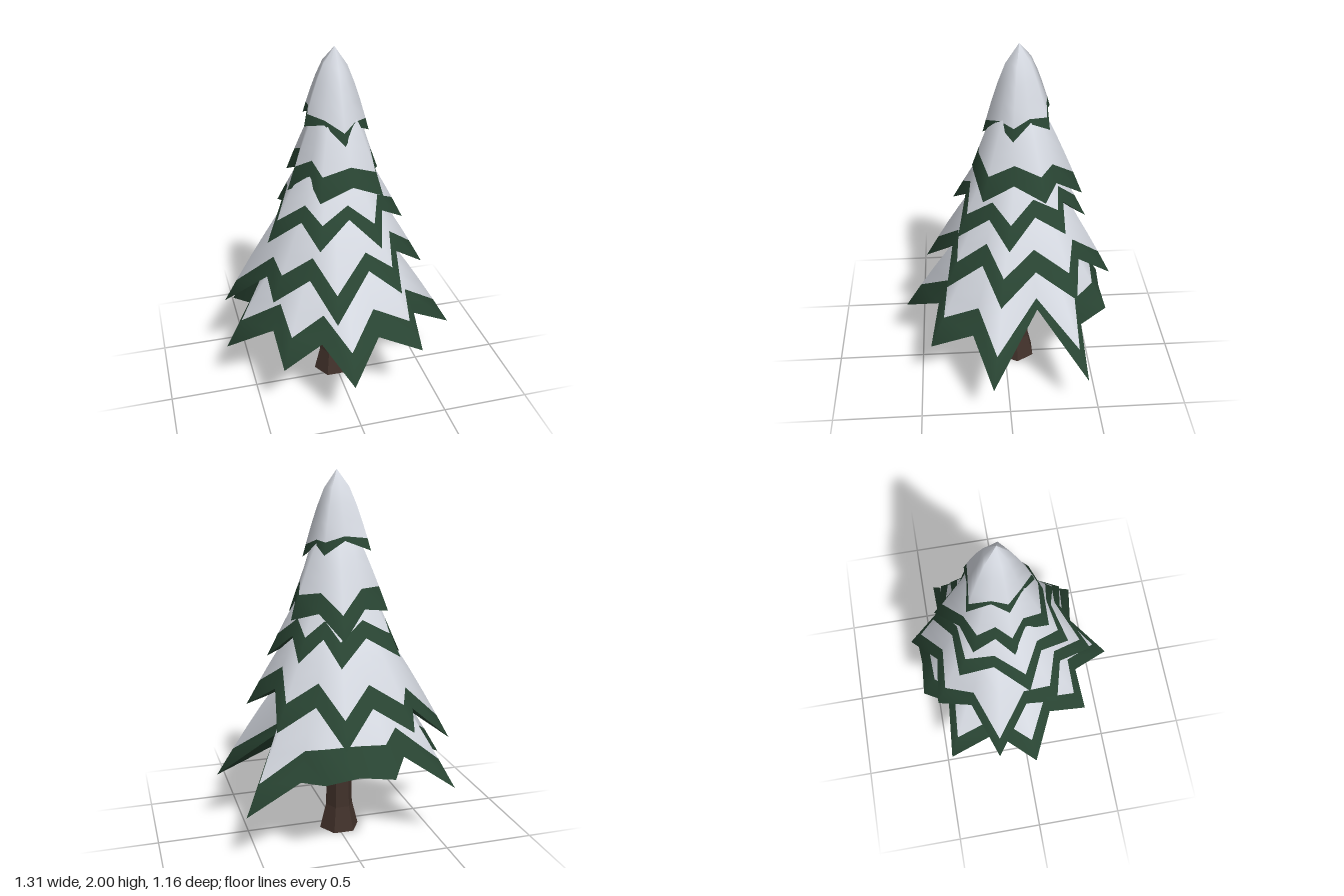
import * as THREE from 'three';

const snow = new THREE.MeshStandardMaterial({ color: 0xd7dbe3 });
snow.name = 'snow';
const needles = new THREE.MeshStandardMaterial({ color: 0x2a4634 });
needles.name = 'needleGreen';
const bark = new THREE.MeshStandardMaterial({ color: 0x41312a });
bark.name = 'bark';

const AXIS_Z = -0.07; // the tree stands slightly behind the middle

// Each tier: ring it starts from, bulge and green edge width at [tips, notches], and
// branch tips [x, y, z] with an optional notch after them: { depth, rise, shift }
const TIERS = [
  { name: 'bottomBranches', top: [0.2, 1.0], power: [0.85, 0.7], rise: 0.13, band: [0.19, 0.17],
    tips: [[0.65, 0.32, 0.10, { depth: 0.55, rise: 0.32, shift: 0.6 }], [0.37, 0.40, 0.43],
      [-0.06, 0.35, 0.58], [-0.40, 0.38, 0.38], [-0.66, 0.34, 0.035], [-0.55, 0.33, -0.46],
      [-0.17, 0.47, -0.565], [0.20, 0.48, -0.56, { depth: 0.91, rise: 0.02 }],
      [0.58, 0.29, -0.42, { rise: 0.06 }]] },
  { name: 'lowerBranches', top: [0.17, 1.25], power: [0.85, 0.7], rise: 0.15, band: [0.16, 0.13],
    tips: [[-0.63, 0.51, -0.18], [-0.30, 0.68, -0.48], [0.10, 0.66, -0.585], [0.40, 0.71, -0.36],
      [0.48, 0.74, 0.05], [0.27, 0.73, 0.33], [-0.12, 0.67, 0.445, { rise: 0.18, shift: 0.58 }],
      [-0.41, 0.70, 0.19]] },
  { name: 'middleBranches', top: [0.11, 1.48], power: [0.85, 0.7], rise: 0.12, band: [0.14, 0.1],
    tips: [[-0.40, 0.98, 0.03], [-0.17, 1.03, 0.28, { rise: 0.15 }], [0.17, 0.99, 0.26],
      [0.37, 1.02, 0.0], [0.27, 1.05, -0.30], [0.08, 1.04, -0.43], [-0.27, 1.05, -0.33]] },
  { name: 'upperBranches', top: [0.08, 1.72], power: [0.85, 0.7], rise: 0.08, band: [0.14, 0.11],
    tips: [[0.06, 1.17, -0.41], [0.28, 1.25, -0.19], [0.215, 1.23, 0.126],
      [-0.14, 1.25, 0.17, { depth: 0.85 }], [-0.27, 1.25, -0.03], [-0.23, 1.28, -0.24]] },
  { name: 'treeTop', top: [0, 2], power: [0.65, 0.65], rise: 0.06, band: [0.07, 0.025],
    tips: [[0.01, 1.53, 0.115], [0.175, 1.55, -0.03], [0.11, 1.58, -0.22], [-0.13, 1.6, -0.245],
      [-0.17, 1.6, -0.04]] },
];

// Star-shaped rim: tips sorted by angle with a notch after each one
function makeRim({ tips, rise: tierRise, band, power }) {
  const polar = tips.map(([x, y, z, notch = {}]) => ({
    a: Math.atan2(x, z - AXIS_Z), r: Math.hypot(x, z - AXIS_Z), y, notch,
    band: band[0], power: power[0],
  })).sort((p, q) => p.a - q.a);
  return polar.flatMap((p, i) => {
    const q = polar[(i + 1) % polar.length];
    const qa = q.a < p.a ? q.a + 2 * Math.PI : q.a;
    const { depth = 0.74, rise = tierRise, shift = 0.5 } = p.notch;
    return [p, {
      a: p.a + (qa - p.a) * shift, r: depth * (p.r + q.r) / 2, y: (p.y + q.y) / 2 + rise,
      band: band[1] * Math.min(1, tierRise / rise), power: power[1], // deep notches have a thin edge
    }];
  });
}

function makeTier(tier) {
  const rim = makeRim(tier);
  const n = rim.length;
  const [r0, y0] = tier.top;
  const positions = [];
  const index = [];
  const addRow = (f) => rim.forEach((p) => {
    const [r, y] = f(p);
    positions.push(r * Math.sin(p.a), y, r * Math.cos(p.a) + AXIS_Z);
  });
  const skin = (p, t) => [r0 + (p.r - r0) * t ** p.power, y0 + (p.y - y0) * t];
  const snowEnd = (p) => 1 - p.band / Math.hypot(p.r - r0, p.y - y0);

  // Snow rows, green edge, then the hollow underside with its own rim
  const snowRows = [0, 0.25, 0.5, 0.75, 1];
  snowRows.forEach((k) => addRow((p) => skin(p, k * snowEnd(p))));
  addRow((p) => skin(p, 1));
  addRow((p) => skin(p, 1));
  const innerY = Math.max(...rim.map((p) => p.y)) + tier.rise * 0.3;
  addRow((p) => [p.r * 0.15, innerY]);

  const strip = (row) => {
    for (let i = 0; i < n; i++) {
      const j = (i + 1) % n;
      const [a, b, c, d] = [row * n + i, row * n + n + i, row * n + n + j, row * n + j];
      index.push(a, b, c, a, c, d);
    }
  };
  const geometry = new THREE.BufferGeometry();
  const last = snowRows.length - 1;
  for (let row = 0; row < last; row++) strip(row);
  geometry.addGroup(0, index.length, 0);
  const start = index.length;
  strip(last);
  strip(last + 2);
  geometry.addGroup(start, index.length - start, 1);
  geometry.setAttribute('position', new THREE.Float32BufferAttribute(positions, 3));
  geometry.setIndex(index);
  geometry.computeVertexNormals();
  const mesh = new THREE.Mesh(geometry, [snow, needles]);
  mesh.name = tier.name;
  return mesh;
}

// Six-sided trunk with a flared foot
function makeTrunk() {
  const trunk = new THREE.Group();
  trunk.name = 'trunk';
  const addPart = (name, rTop, rBottom, yBottom, yTop) => {
    const geometry = new THREE.CylinderGeometry(rTop, rBottom, yTop - yBottom, 6).toNonIndexed();
    geometry.computeVertexNormals();
    const mesh = new THREE.Mesh(geometry, bark);
    mesh.position.set(-0.015, (yTop + yBottom) / 2, AXIS_Z);
    mesh.rotation.y = Math.PI / 6;
    mesh.name = name;
    trunk.add(mesh);
  };
  addPart('trunkFoot', 0.077, 0.112, 0, 0.14);
  addPart('trunkStem', 0.06, 0.077, 0.14, 0.75);
  return trunk;
}

export function createModel() {
  const tree = new THREE.Group();
  tree.name = 'snowyTree';
  tree.add(makeTrunk(), ...TIERS.map(makeTier));
  return tree;
}
